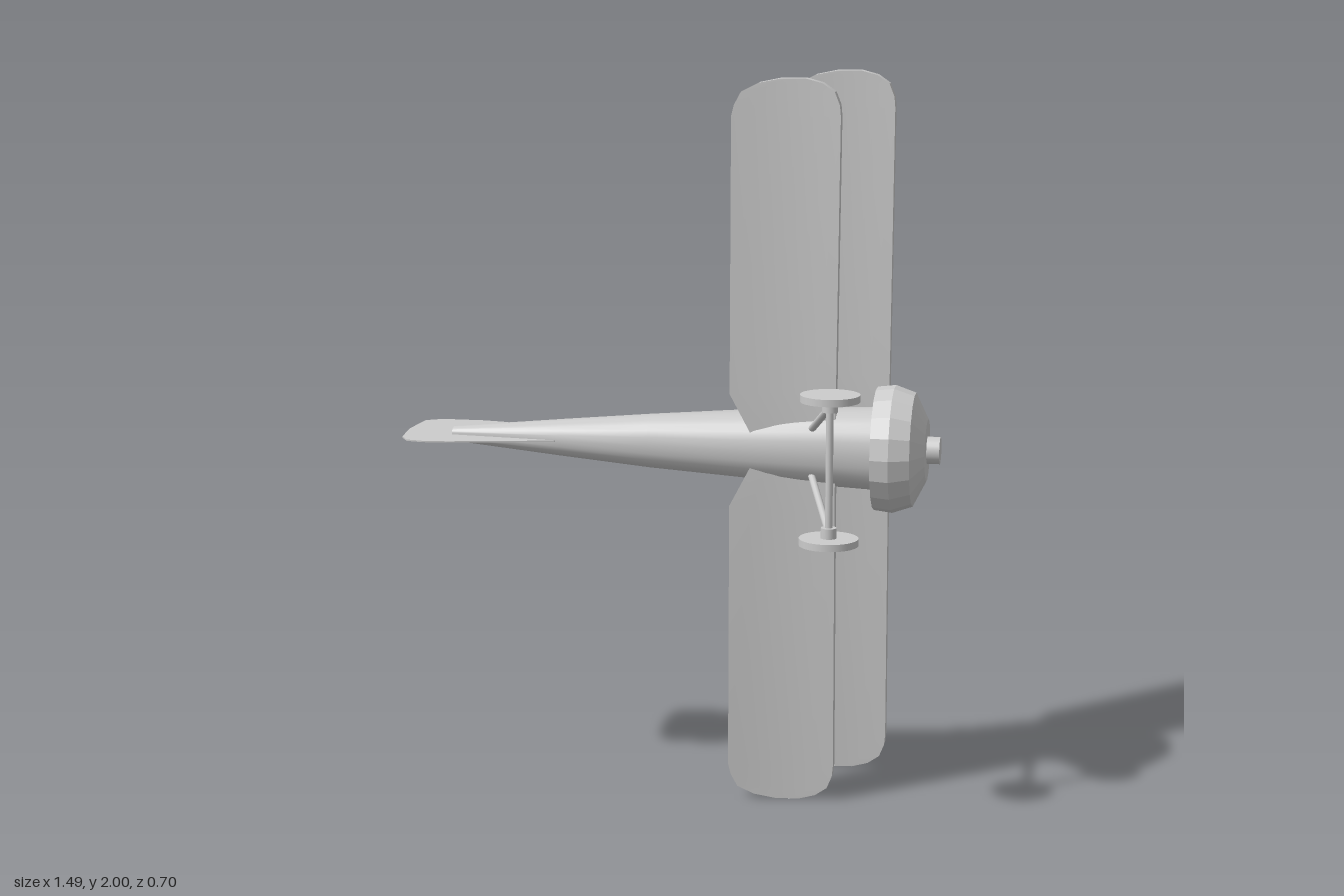
import * as THREE from 'three';
import { toCreasedNormals } from 'three/addons/utils/BufferGeometryUtils.js';

const V = (x, y, z) => new THREE.Vector3(x, y, z);
const material = new THREE.MeshStandardMaterial({ color: 0xcccccc });
const flat = new THREE.MeshStandardMaterial({ color: 0xcccccc, flatShading: true });
const thin = new THREE.MeshStandardMaterial({ color: 0xcccccc, side: THREE.DoubleSide });

function part(name, geometry, mat = material) {
  const mesh = new THREE.Mesh(geometry, mat);
  mesh.name = name;
  return mesh;
}

// Closed skin through equal-length loops of points, with capped ends
function loft(loops, crease) {
  const n = loops[0].length, points = loops.flat(), index = [];
  for (let i = 0; i < loops.length - 1; i++) {
    for (let j = 0; j < n; j++) {
      const a = i * n + j, b = i * n + (j + 1) % n;
      index.push(a, b, b + n, a, b + n, a + n);
    }
  }
  const last = (loops.length - 1) * n;
  for (let j = 1; j < n - 1; j++) {
    index.push(0, j + 1, j, last, last + j, last + j + 1);
  }
  // Turn the faces outward if the enclosed volume comes out negative
  let volume = 0;
  for (let i = 0; i < index.length; i += 3) {
    const [a, b, c] = [0, 1, 2].map(k => points[index[i + k]]);
    volume += a.dot(b.clone().cross(c));
  }
  if (volume < 0) index.reverse();
  const geometry = new THREE.BufferGeometry().setFromPoints(points);
  geometry.setIndex(index);
  return toCreasedNormals(geometry, crease);
}

// Round bar between two points
function bar(name, from, to, radius, sides = 10) {
  const dir = to.clone().sub(from);
  const mesh = part(name, new THREE.CylinderGeometry(radius, radius, dir.length(), sides));
  mesh.position.copy(from).add(to).multiplyScalar(0.5);
  mesh.quaternion.setFromUnitVectors(V(0, 1, 0), dir.normalize());
  return mesh;
}

// Cambered wing spanning y, with a notch in the middle of the trailing edge
function wing(name, dx, dz) {
  // span offset, trailing edge x, leading edge x
  const half = [[0.155, 0.295, 0.58], [0.9, 0.29, 0.58], [0.93, 0.297, 0.577],
    [0.965, 0.315, 0.563], [0.988, 0.36, 0.53], [1, 0.42, 0.485]];
  const stations = [
    ...half.map(([s, a, b]) => [-s, a, b]).reverse(),
    [0, 0.375, 0.58],
    ...half];
  const steps = [0, 0.2, 0.4, 0.6, 0.8, 1];
  const loops = stations.map(([s, rear, front]) => {
    const dihedral = 0.04 * Math.max(0, Math.abs(s) - 0.155) / 0.845;
    const at = (f, thickness) => {
      const x = THREE.MathUtils.lerp(rear, front, f);
      const t = (x - 0.29) / 0.29;
      const camber = 0.03 * (1 - (1 - t) ** 2);
      return V(x + dx, 1 + s, -0.245 - camber - dihedral - thickness + dz);
    };
    return [...steps.map(f => at(f, 0)), ...steps.slice().reverse().map(f => at(f, 0.036))];
  });
  return part(name, loft(loops, 0.4));
}

// Tapered body with headrest and cockpit opening
function fuselage() {
  // x, top z, bottom z, half width
  const sections = [[-0.61, -0.055, 0, 0.02], [-0.3, -0.08, 0.03, 0.05], [-0.05, -0.1, 0.048, 0.073],
    [0.25, -0.19, 0.067, 0.093], [0.29, -0.13, 0.069, 0.095], [0.36, -0.13, 0.072, 0.1],
    [0.4, -0.17, 0.073, 0.102], [0.45, -0.16, 0.075, 0.105], [0.59, -0.16, 0.075, 0.112]];
  const sides = 24, mid = -0.028;
  const loops = sections.map(([x, top, bottom, width]) =>
    Array.from({ length: sides }, (_, i) => {
      const a = i / sides * Math.PI * 2, c = Math.cos(a), s = Math.sin(a);
      const round = v => Math.sign(v) * Math.abs(v) ** 0.85;
      return V(x, 1 + width * round(c), mid + round(s) * (s > 0 ? bottom - mid : mid - top));
    }));
  return part('fuselage', loft(loops, 0.6));
}

// Thin upright fin and rudder
function tailFin() {
  const outline = [[-0.31, -0.08], [-0.5, -0.2], [-0.57, -0.212], [-0.69, -0.212], [-0.735, -0.185],
    [-0.748, -0.06], [-0.738, 0.05], [-0.715, 0.09], [-0.67, 0.1], [-0.6, 0.095], [-0.31, 0.032]];
  const shape = new THREE.Shape(outline.map(([x, z]) => new THREE.Vector2(x, -z)));
  const geometry = new THREE.ExtrudeGeometry(shape, { depth: 0.004, bevelEnabled: false });
  geometry.rotateX(-Math.PI / 2).translate(0, 0.998, 0);
  return part('tailFin', geometry, thin);
}

// Faceted engine cowling and propeller hub along x
function nose() {
  const group = new THREE.Group();
  group.name = 'nose';
  const profile = [[0, 0.57], [0.168, 0.57], [0.174, 0.62], [0.155, 0.675], [0.085, 0.71], [0, 0.71]];
  const cowl = new THREE.LatheGeometry(profile.map(p => new THREE.Vector2(...p)), 18);
  cowl.rotateZ(-Math.PI / 2).translate(0, 1, -0.032);
  group.add(part('cowling', cowl, flat));
  group.add(bar('propellerHub', V(0.7, 1, -0.032), V(0.745, 1, -0.032), 0.037, 24));
  return group;
}

// Axle with a wheel, hub and slanted strut on each side
function landingGear() {
  const group = new THREE.Group();
  group.name = 'landingGear';
  const x = 0.48, z = 0.27;
  group.add(bar('axle', V(x, 0.83, z), V(x, 1.19, z), 0.01));
  for (const side of [-1, 1]) {
    const y = d => 1 + side * d;
    group.add(bar('wheel', V(x, y(0.183), z), V(x, y(0.202), z), 0.079, 32));
    group.add(bar('wheelHub', V(x, y(0.155), z), V(x, y(0.185), z), 0.021, 16));
    group.add(bar('strut', V(x, y(0.168), z), V(0.405, y(0.065), 0.05), 0.01));
  }
  return group;
}

export function createModel() {
  const model = new THREE.Group();
  model.name = 'biplane';
  model.add(
    fuselage(),
    nose(),
    wing('upperWing', 0, 0),
    wing('lowerWing', -0.113, 0.312),
    tailFin(),
    landingGear());
  return model;
}
